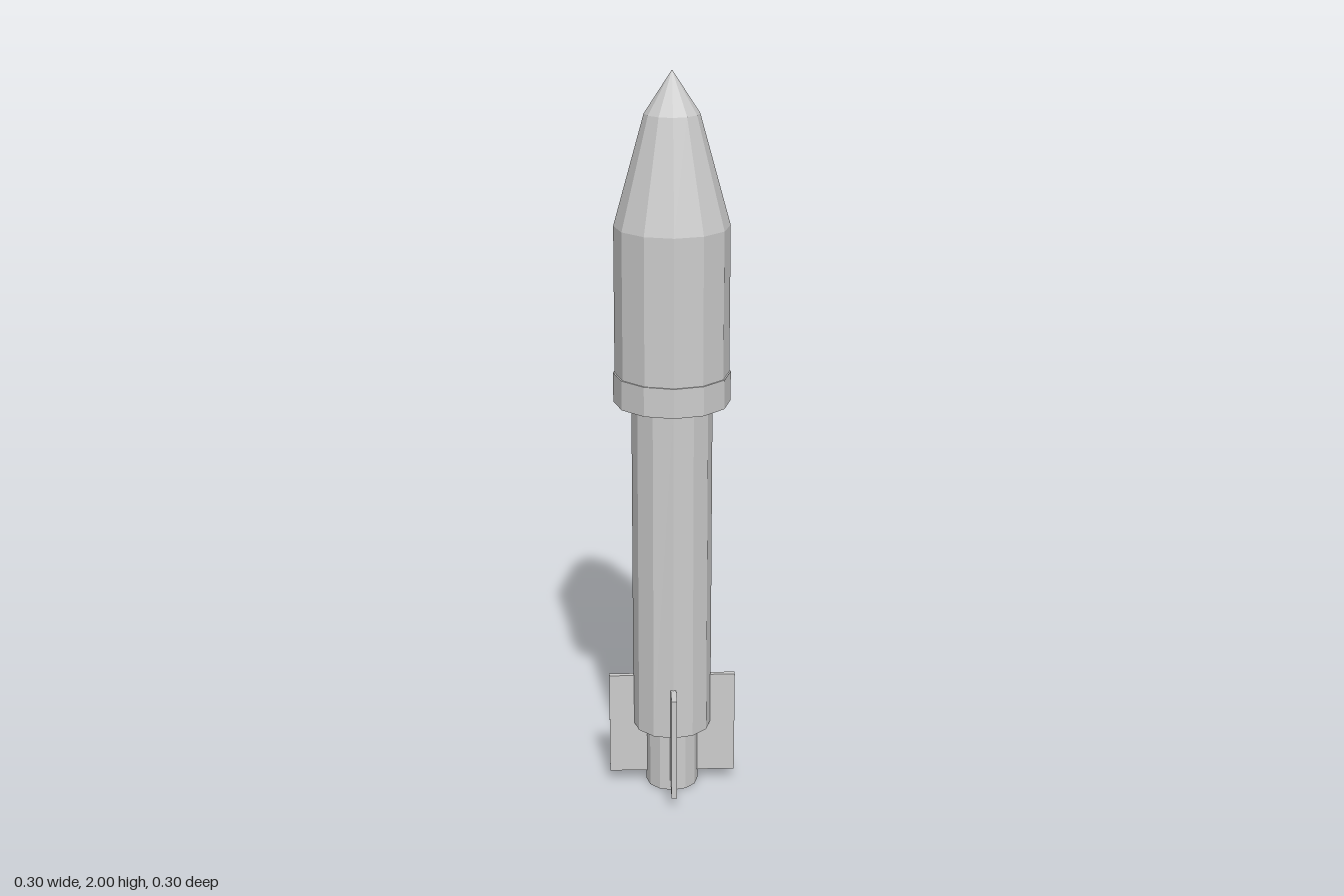
import * as THREE from 'three';

const SIDES = 12;

export function createModel() {
  const rocket = new THREE.Group();
  rocket.name = 'rocket';
  const grey = new THREE.MeshStandardMaterial({ color: 0xcccccc, flatShading: true });
  grey.name = 'light grey';

  // Twelve-sided section with flats facing front, back and sides
  function section(name, rTop, rBottom, y0, y1, open = false) {
    const geo = new THREE.CylinderGeometry(rTop, rBottom, y1 - y0, SIDES, 1, open);
    geo.rotateY(Math.PI / SIDES);
    geo.translate(0, (y0 + y1) / 2, 0);
    const mesh = new THREE.Mesh(geo, grey);
    mesh.name = name;
    rocket.add(mesh);
  }

  section('engineNozzle', 0.072, 0.072, 0, 0.18);
  section('lowerBody', 0.108, 0.108, 0.18, 1.125);
  section('collar', 0.156, 0.156, 1.125, 1.205);
  section('upperBody', 0.152, 0.152, 1.205, 1.6, true);
  section('noseCone', 0.072, 0.152, 1.6, 1.89, true);
  section('noseTip', 0, 0.072, 1.89, 2, true);

  // Four diagonal tail fins
  const inner = 0.06, outer = 0.175;
  for (let i = 0; i < 4; i++) {
    const geo = new THREE.BoxGeometry(outer - inner, 0.295, 0.015);
    geo.translate((inner + outer) / 2, 0.1775, 0);
    const fin = new THREE.Mesh(geo, grey);
    fin.name = 'fin' + (i + 1);
    fin.rotation.y = Math.PI / 4 + (i * Math.PI) / 2;
    rocket.add(fin);
  }

  return rocket;
}
